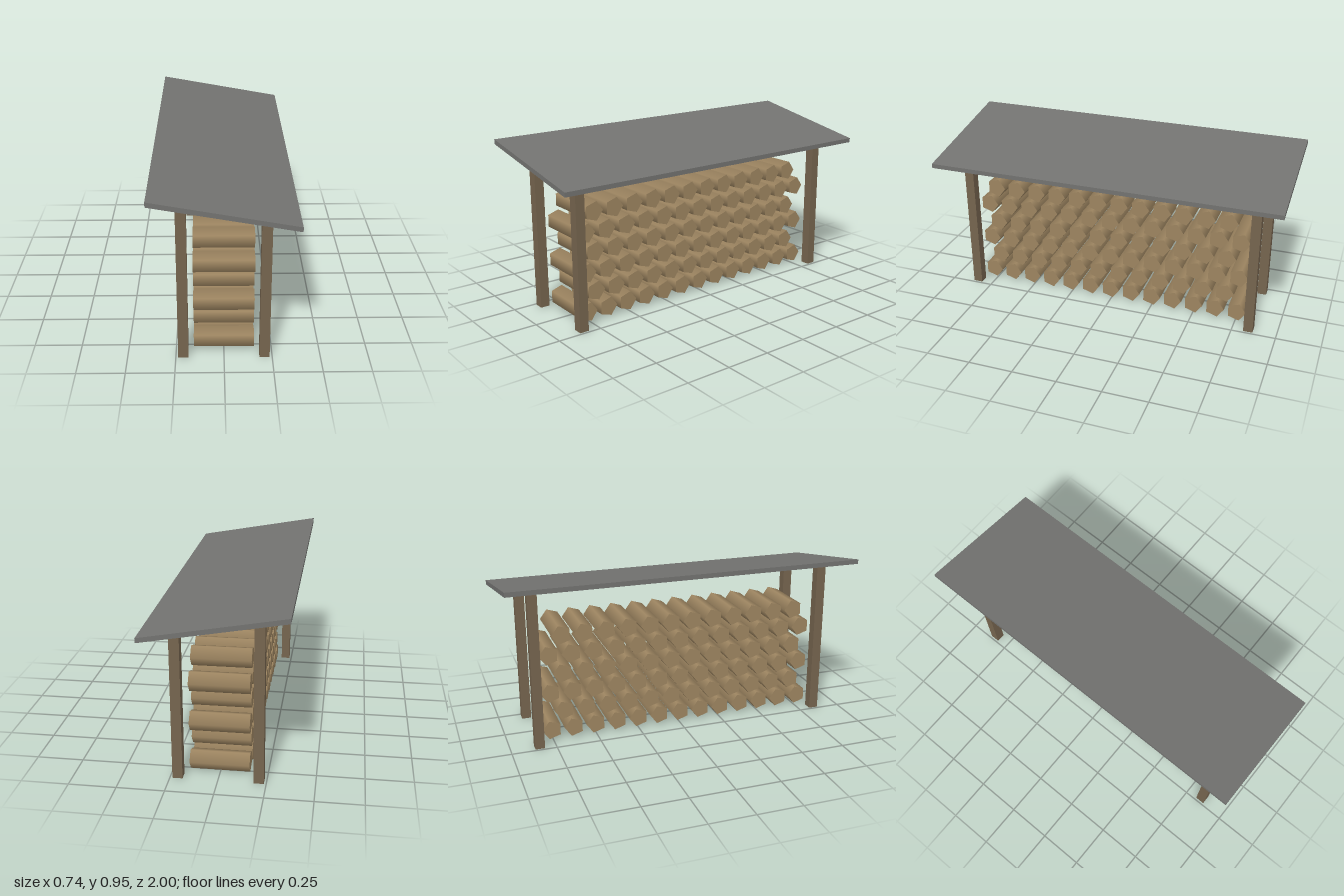
import * as THREE from 'three';

const mat = (name, color) => {
  const m = new THREE.MeshStandardMaterial({ color });
  m.name = name;
  return m;
};

export function createModel() {
  const group = new THREE.Group();
  const postWood = mat('post wood', 0x75644e);
  const logWood = mat('log wood', 0x9c8460);
  const roofGrey = mat('roof grey', 0x727270);

  const add = (name, geometry, material, x, y, z, parent = group) => {
    const mesh = new THREE.Mesh(geometry, material);
    mesh.name = name;
    mesh.position.set(x, y, z);
    parent.add(mesh);
    return mesh;
  };

  // Corner posts: tall on the right side, short on the left
  for (const [side, x, height] of [['right', -0.211, 0.896], ['left', 0.21, 0.79]]) {
    for (const [end, z] of [['Front', 0.842], ['Back', -0.842]]) {
      add(side + end + 'Post', new THREE.BoxGeometry(0.053, height, 0.053), postWood, x, height / 2, z);
    }
  }

  // Sloping roof slab with plumb-cut edges
  const profile = new THREE.Shape([
    new THREE.Vector2(-0.368, 0.923),
    new THREE.Vector2(0.368, 0.792),
    new THREE.Vector2(0.368, 0.817),
    new THREE.Vector2(-0.368, 0.949),
  ]);
  add('roof', new THREE.ExtrudeGeometry(profile, { depth: 2, bevelEnabled: false }), roofGrey, 0, 0, -1);

  // Stacked five-sided logs, every other row staggered and one shorter
  const stack = new THREE.Group();
  stack.name = 'logStack';
  group.add(stack);
  const logGeometry = new THREE.CylinderGeometry(0.0563, 0.0563, 0.314, 5, 1, false, Math.PI);
  logGeometry.rotateZ(Math.PI / 2);
  for (let row = 0; row < 6; row++) {
    const odd = row % 2;
    for (let i = 0; i < 13 - odd; i++) {
      add('log', logGeometry, logWood, 0, 0.0635 + row * 0.111, 0.766 - odd * 0.052 - i * 0.1267, stack);
    }
  }
  return group;
}
